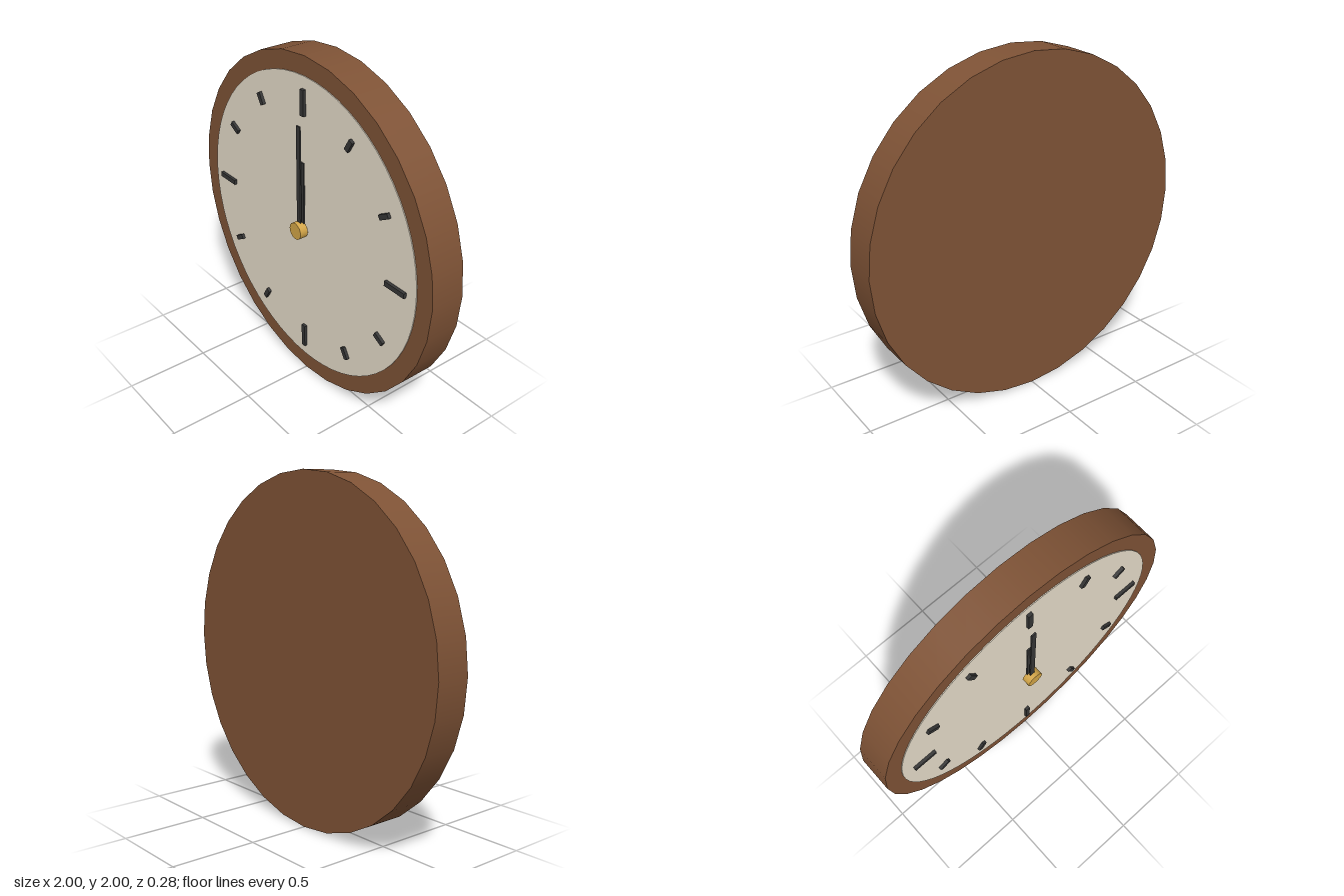
import * as THREE from 'three';

const material = (name, color) => {
  const m = new THREE.MeshStandardMaterial({ color });
  m.name = name;
  return m;
};

export function createModel() {
  const wood = material('brown wood', 0x7f5336);
  const cream = material('cream', 0xf5ebd7);
  const black = material('black', 0x363636);
  const brass = material('brass', 0xd4a648);

  const clock = new THREE.Group();
  clock.name = 'wallClock';
  const centre = new THREE.Group();
  centre.name = 'clockBody';
  centre.position.y = 1;
  clock.add(centre);

  const add = (name, geometry, mat) => {
    const mesh = new THREE.Mesh(geometry, mat);
    mesh.name = name;
    centre.add(mesh);
    return mesh;
  };

  // Round disc facing forward, between two depths
  const disc = (name, radius, back, front, sides, mat) =>
    add(name, new THREE.CylinderGeometry(radius, radius, front - back, sides)
      .rotateX(Math.PI / 2).translate(0, 0, (front + back) / 2), mat);

  // Upright bar reaching outward from one radius to another
  const bar = (name, width, inner, outer, back, front) =>
    add(name, new THREE.BoxGeometry(width, outer - inner, front - back)
      .translate(0, (inner + outer) / 2, (front + back) / 2), black);

  // Case and dial
  disc('case', 1, -0.14, 0.067, 32, wood);
  disc('dial', 0.893, 0.064, 0.072, 64, cream);

  // Hour markers, longer at the quarters
  for (let i = 0; i < 12; i++) {
    const half = i % 3 === 0 ? 0.073 : 0.036;
    const marker = bar(`hourMarker${i || 12}`, 0.029, 0.75 - half, 0.75 + half, 0.07, 0.09);
    marker.rotation.z = -i * Math.PI / 6;
  }

  // Hands and centre cap
  bar('hourHand', 0.05, 0, 0.415, 0.09, 0.099);
  bar('minuteHand', 0.03, 0, 0.627, 0.106, 0.115);
  disc('centreCap', 0.05, 0.09, 0.14, 24, brass);

  return clock;
}
